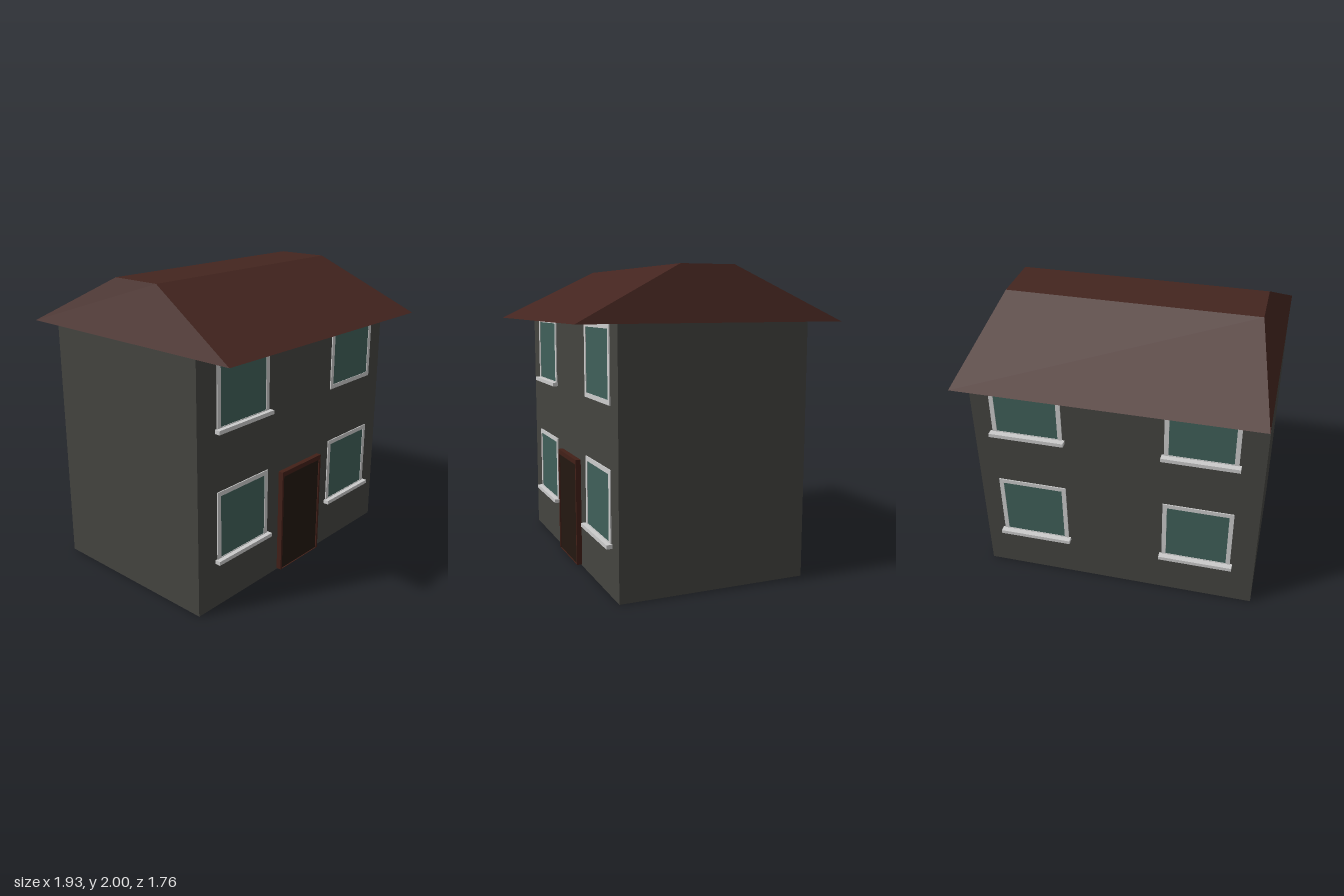
import * as THREE from 'three';

const mat = (color, side = THREE.FrontSide) =>
  new THREE.MeshStandardMaterial({ color, side, flatShading: true });

const WALL_X = 0.963, FRONT_Z = 0.63, EAVES = 1.65;

function addMesh(parent, name, geometry, material, x = 0, y = 0, z = 0) {
  const mesh = new THREE.Mesh(geometry, material);
  mesh.name = name;
  mesh.position.set(x, y, z);
  parent.add(mesh);
  return mesh;
}

function rectPoints(w, h, cx = 0, cy = 0) {
  return [[-1, -1], [1, -1], [1, 1], [-1, 1]].map(
    ([sx, sy]) => new THREE.Vector2(cx + sx * w / 2, cy + sy * h / 2));
}

// Rectangular frame with an opening, extruded from z = 0 towards +z
function frameGeometry(w, h, depth, holeW, holeH, holeY = 0) {
  const shape = new THREE.Shape(rectPoints(w, h));
  shape.holes.push(new THREE.Path(rectPoints(holeW, holeH, 0, holeY)));
  return new THREE.ExtrudeGeometry(shape, { depth, bevelEnabled: false });
}

// Closed hipped roof with a flat top, from two rectangles
function roofGeometry(x0, z0, y0, x1, z1, y1) {
  const ring = (x, y, z) => [[-x, y, z], [x, y, z], [x, y, -z], [-x, y, -z]];
  const low = ring(x0, y0, z0), high = ring(x1, y1, z1);
  const pos = [];
  const quad = (a, b, c, d) => pos.push(...a, ...b, ...c, ...a, ...c, ...d);
  for (let i = 0; i < 4; i++) {
    const j = (i + 1) % 4;
    quad(low[i], low[j], high[j], high[i]);
  }
  quad(...high);
  quad(...low.slice().reverse());
  const geo = new THREE.BufferGeometry();
  geo.setAttribute('position', new THREE.Float32BufferAttribute(pos, 3));
  geo.computeVertexNormals();
  return geo;
}

export function createModel() {
  const house = new THREE.Group();
  house.name = 'house';

  const wallMat = mat(0x444440, THREE.DoubleSide);
  const roofMat = mat(0x44251f);
  const trimMat = mat(0xcccccc);
  const glassMat = mat(0x40605a);
  const doorMat = mat(0x231810);
  const doorFrameMat = mat(0x422018);

  // Thin walls, open underneath
  const walls = new THREE.Group();
  walls.name = 'walls';
  house.add(walls);
  for (const s of [1, -1]) {
    const long = addMesh(walls, s > 0 ? 'frontWall' : 'backWall',
      new THREE.PlaneGeometry(WALL_X * 2, EAVES), wallMat, 0, EAVES / 2, s * FRONT_Z);
    long.rotation.y = s > 0 ? 0 : Math.PI;
    const end = addMesh(walls, s > 0 ? 'leftWall' : 'rightWall',
      new THREE.PlaneGeometry(FRONT_Z * 2, EAVES), wallMat, s * WALL_X, EAVES / 2, 0);
    end.rotation.y = s * Math.PI / 2;
  }

  addMesh(house, 'roof', roofGeometry(0.965, 0.882, EAVES, 0.83, 0.182, 2), roofMat);

  // Windows: frames run through the wall, sills stand out in front
  const W = 0.478, H = 0.478;
  const frame = frameGeometry(W, H, 0.107, W - 0.06, H - 0.06);
  const glass = new THREE.PlaneGeometry(W - 0.055, H - 0.055);
  for (const side of [1, -1]) {
    for (const x of [-0.558, 0.592]) {
      for (const y of [0.547, 1.41]) {
        const win = new THREE.Group();
        win.name = 'window';
        win.position.set(x, y, side * FRONT_Z);
        win.rotation.y = side > 0 ? 0 : Math.PI;
        addMesh(win, 'windowFrame', frame, trimMat, 0, 0, -0.1);
        addMesh(win, 'windowPane', glass, glassMat, 0, 0, 0.003);
        // One upper front window has no sill
        if (!(side > 0 && x > 0 && y > 1)) {
          const d = side > 0 ? 0.037 : 0.045;
          addMesh(win, 'windowSill', new THREE.BoxGeometry(0.508, 0.026, d),
            trimMat, 0, -H / 2 + 0.012, d / 2);
        }
        house.add(win);
      }
    }
  }

  // Front door with a deep surround
  const door = new THREE.Group();
  door.name = 'door';
  door.position.set(0.014, 0.37, FRONT_Z);
  addMesh(door, 'doorFrame', frameGeometry(0.425, 0.724, 0.145, 0.394, 0.69, -0.016),
    doorFrameMat, 0, 0, -0.11);
  addMesh(door, 'doorPanel', new THREE.BoxGeometry(0.396, 0.7, 0.024),
    doorMat, 0, -0.013, 0.015);
  house.add(door);

  return house;
}
